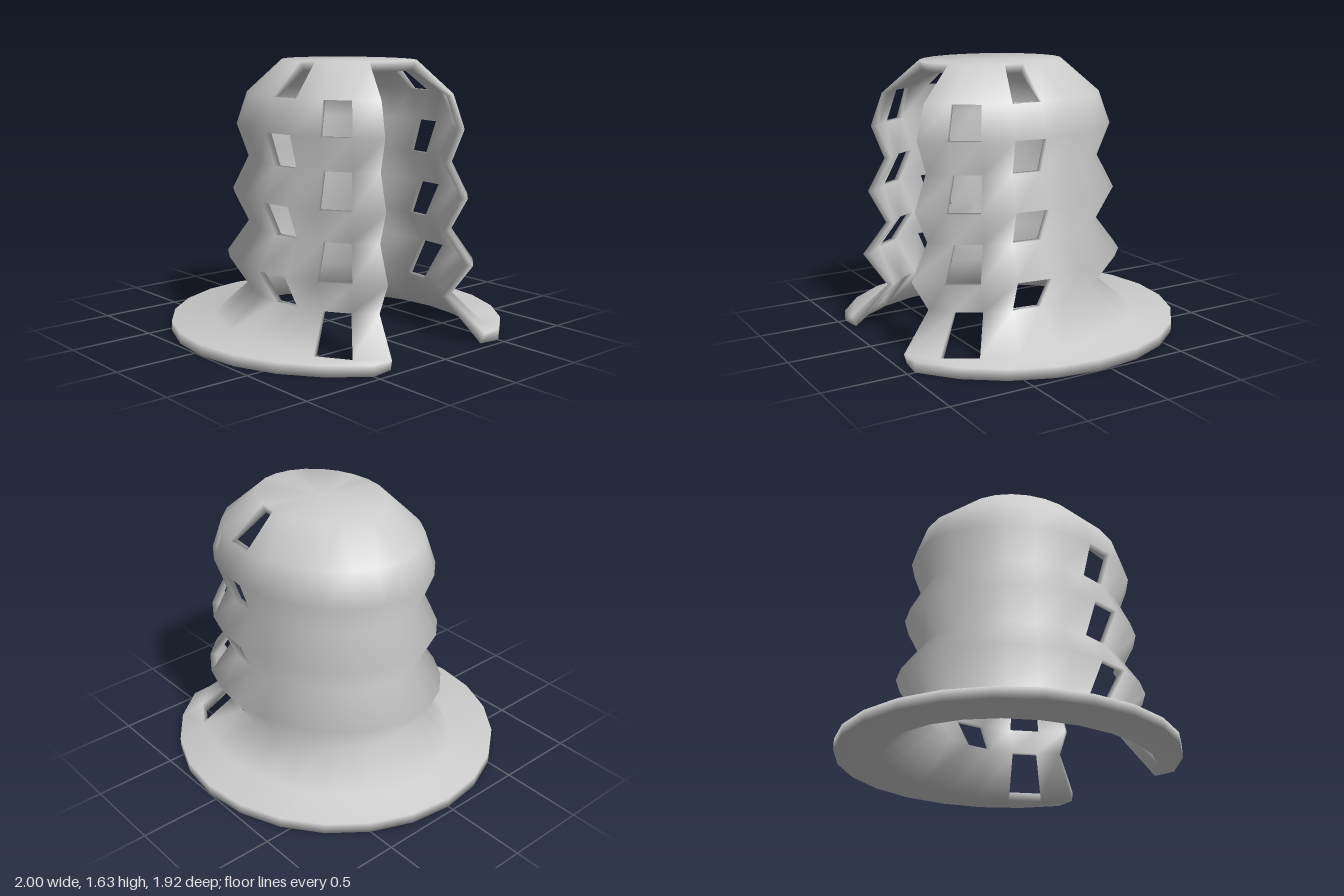
import * as THREE from 'three';

const COLS = 24;       // 15 degree steps, starting at the left edge of the front opening
const SHELL_COLS = 20; // the last four columns are the open front

// Rings from brim to crown: [outer y, x radius, z radius, z centre, inner y, inset]
const body = (y, r, innerY = y, inset = 0.04) => [y, r, r * 1.2, 0.18, innerY, inset];
const rings = [
  [0.065, 1, 1.027, 0.064, 0, 0],
  body(0.065, 0.75, 0.002, 0.025),
  body(0.26, 0.555),
  body(0.46, 0.68),
  body(0.655, 0.555),
  body(0.85, 0.645),
  body(1.05, 0.555),
  body(1.245, 0.62),
  body(1.44, 0.56),
  body(1.635, 0.364, 1.58, 0.022),
];

// Staggered windows: one cell out of every second row in two columns per side
function isWindow(row, col) {
  const c = Math.min(col, SHELL_COLS - 1 - col);
  return row > 0 && ((c === 1 && row % 2 === 1) || (c === 3 && row % 2 === 0));
}

// Closes a pair of matching skins, adding walls along every open edge
function thicken(outer, inner, faces) {
  const n = outer.length;
  const index = [];
  const edges = new Map();
  const polygon = (p) => {
    for (let i = 2; i < p.length; i++) index.push(p[0], p[i - 1], p[i]);
  };
  for (const f of faces) {
    polygon(f);
    polygon(f.map((i) => i + n).reverse());
    f.forEach((a, i) => {
      const b = f[(i + 1) % f.length];
      if (!edges.delete(`${b}_${a}`)) edges.set(`${a}_${b}`, [a, b]);
    });
  }
  for (const [a, b] of edges.values()) polygon([b, a, a + n, b + n]);

  const g = new THREE.BufferGeometry();
  g.setAttribute('position', new THREE.Float32BufferAttribute([...outer, ...inner].flat(), 3));
  g.setIndex(index);
  g.computeVertexNormals();
  return g.toNonIndexed(); // drops the unused points in the opening
}

export function createModel() {
  const outer = [];
  const inner = [];
  for (const [y, rx, rz, cz, innerY, inset] of rings) {
    for (let k = 0; k < COLS; k++) {
      const a = ((60 - 15 * k) * Math.PI) / 180;
      outer.push([rx * Math.cos(a), y, cz + rz * Math.sin(a)]);
      inner.push([(rx - inset) * Math.cos(a), innerY, cz + (rz - inset) * Math.sin(a)]);
    }
  }

  // Brim and pleated wall
  const faces = [];
  for (let r = 0; r < rings.length - 1; r++) {
    for (let k = 0; k < SHELL_COLS; k++) {
      if (isWindow(r, k)) continue;
      const i = r * COLS + k;
      faces.push([i, i + 1, i + COLS + 1, i + COLS]);
    }
  }

  // Flat crown, complete over the opening
  const top = (rings.length - 1) * COLS;
  const centre = outer.length;
  outer.push([0, 1.635, 0.18]);
  inner.push([0, 1.58, 0.18]);
  for (let k = 0; k < COLS; k++) faces.push([top + k, top + ((k + 1) % COLS), centre]);

  const shell = new THREE.Mesh(
    thicken(outer, inner, faces),
    new THREE.MeshStandardMaterial({ color: 0xcccccc })
  );
  shell.name = 'pleatedShell';

  const group = new THREE.Group();
  group.name = 'openFrontedHood';
  group.add(shell);
  return group;
}
